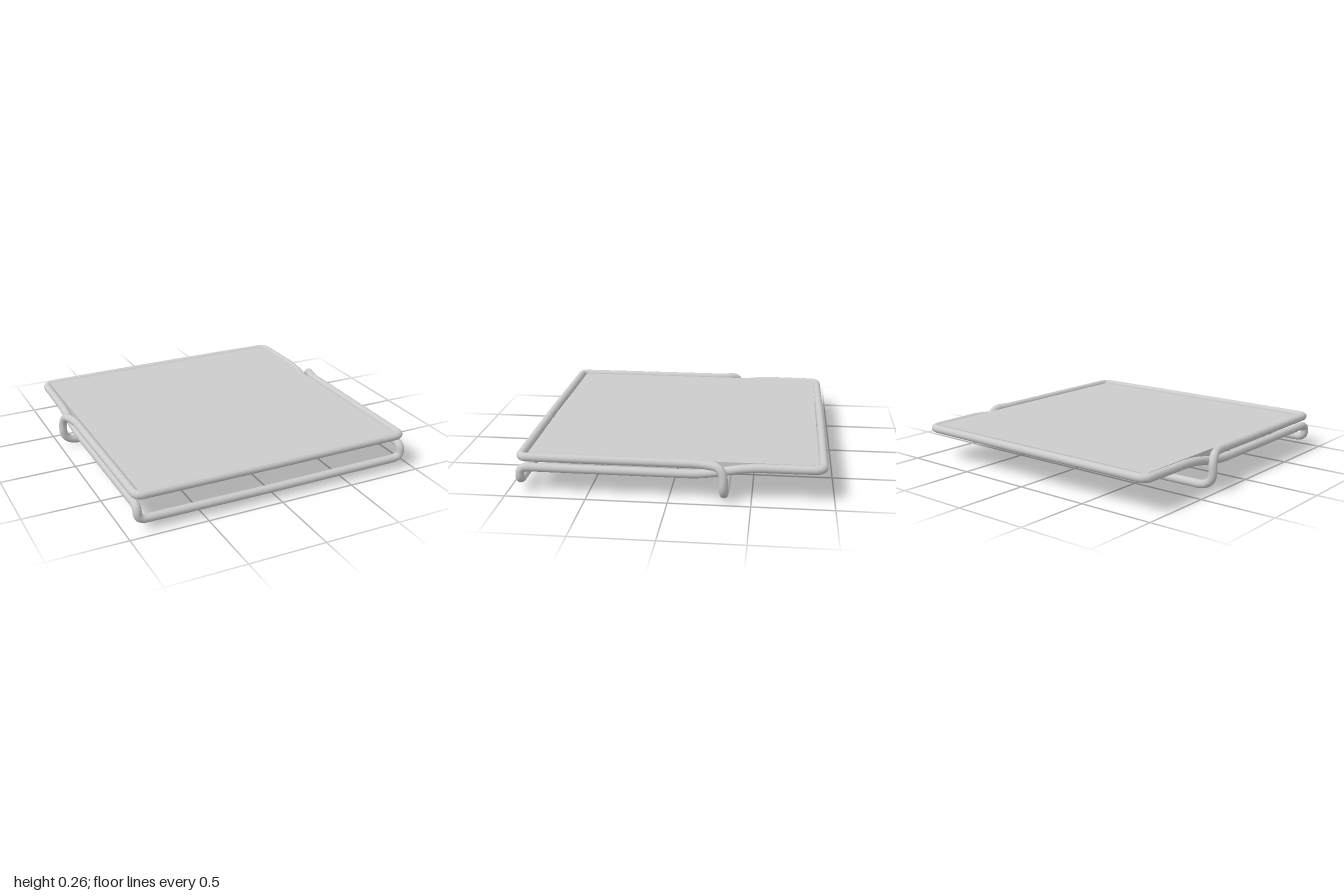
import * as THREE from 'three';

const RADIUS = 0.027;
const material = new THREE.MeshStandardMaterial({ color: 0xcccccc });

// Closed bent-wire loop. half: [x, y, z, bendLength] from the middle of one
// cross bar to the middle of the other; the other half is mirrored in x.
function wireLoop(name, half) {
  const mirrored = half.slice(1, -1).reverse().map(([x, y, z, r]) => [-x, y, z, r]);
  const nodes = [...half, ...mirrored].map(([x, y, z, r]) => ({ p: new THREE.Vector3(x, y, z), r }));
  const path = new THREE.CurvePath();
  path.arcLengthDivisions = 1200;
  let from = nodes[0].p;
  for (let i = 1; i < nodes.length; i++) {
    const { p, r } = nodes[i];
    const toward = (q) => {
      const length = p.distanceTo(q);
      return p.clone().lerp(q, Math.min(r, length / 2) / length);
    };
    const start = toward(nodes[i - 1].p);
    const end = toward(nodes[(i + 1) % nodes.length].p);
    if (from.distanceTo(start) > 1e-4) path.add(new THREE.LineCurve3(from, start));
    path.add(new THREE.QuadraticBezierCurve3(start, p, end));
    from = end;
  }
  path.add(new THREE.LineCurve3(from, nodes[0].p));
  const mesh = new THREE.Mesh(new THREE.TubeGeometry(path, 560, RADIUS, 16, true), material);
  mesh.name = name;
  return mesh;
}

export function createModel() {
  const group = new THREE.Group();
  group.name = 'foldingTray';

  // Flat panel held between the wires
  const panel = new THREE.Mesh(new THREE.BoxGeometry(1.78, 0.048, 1.777), material);
  panel.name = 'panel';
  panel.position.set(0, 0.212, -0.0085);
  group.add(panel);

  // Upper wire: front rim and sides, flaring out and down into the rear foot
  group.add(wireLoop('upperFrameWithRearFoot', [
    [0, 0.23, 0.921, 0],
    [0.92, 0.23, 0.916, 0.05],
    [0.922, 0.23, -0.2, 0.06],
    [0.967, 0.229, -0.333, 0.09],
    [0.975, 0.032, -0.335, 0.12],
    [0, 0.027, -0.335, 0.2],
  ]));

  // Lower wire: front foot, sides under the panel, stepping up to the back rim
  group.add(wireLoop('lowerFrameWithFrontFoot', [
    [0, 0.069, 0.921, 0],
    [0.92, 0.073, 0.921, 0.06],
    [0.92, 0.165, 0.919, 0.055],
    [0.922, 0.164, -0.2, 0.1],
    [0.919, 0.216, -0.48, 0.1],
    [0.912, 0.215, -0.926, 0.06],
    [0, 0.215, -0.931, 0.2],
  ]));

  return group;
}
